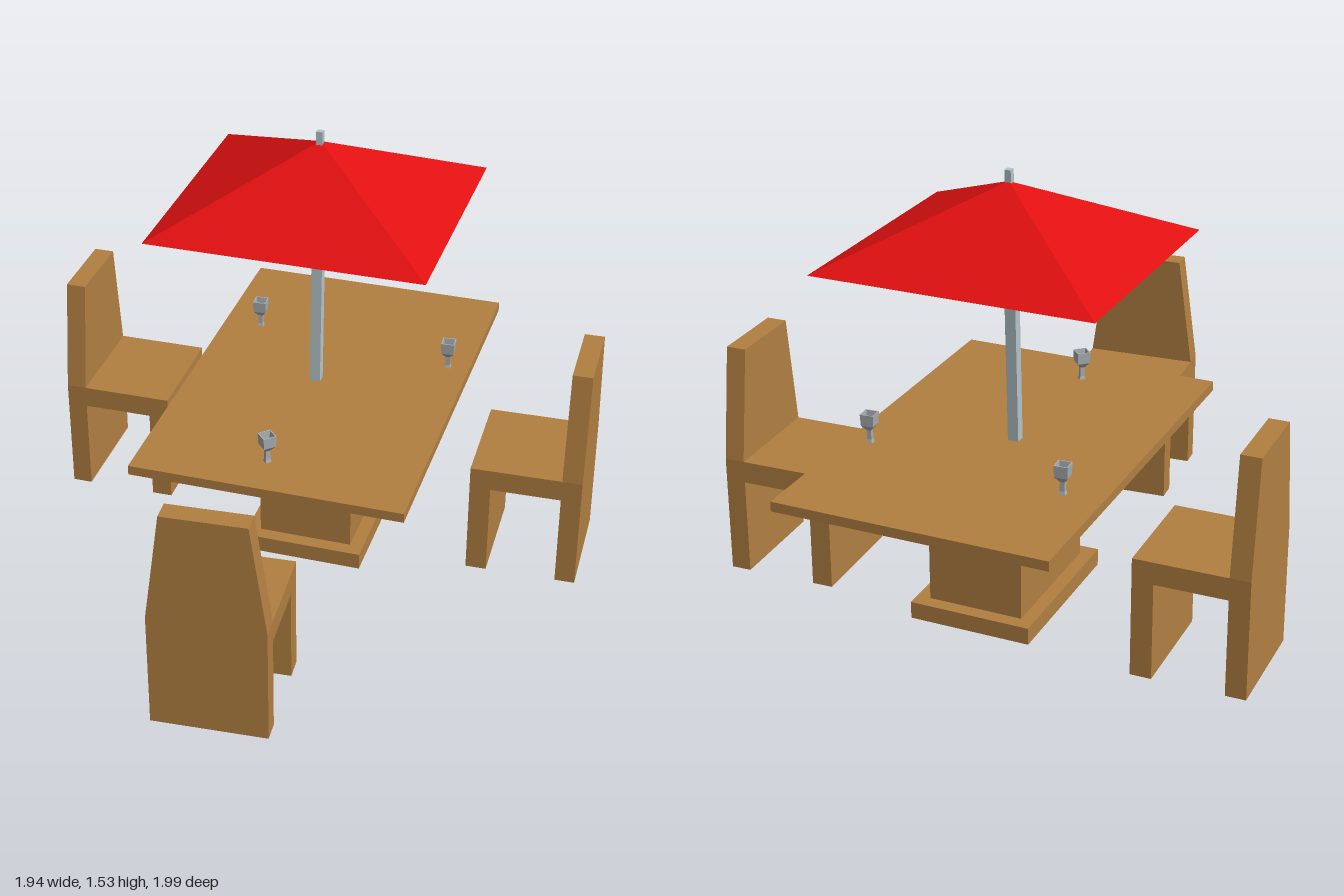
import * as THREE from 'three';

const wood = new THREE.MeshStandardMaterial({ color: 0xb17f41, side: THREE.DoubleSide });
wood.name = 'wood';
const red = new THREE.MeshStandardMaterial({ color: 0xe01010, side: THREE.DoubleSide });
red.name = 'red canvas';
const steel = new THREE.MeshStandardMaterial({ color: 0xb4c5c9 });
steel.name = 'pale steel';
const glass = new THREE.MeshStandardMaterial({ color: 0xa9aeb2, side: THREE.DoubleSide });
glass.name = 'grey glass';

function add(parent, name, geometry, material, x = 0, y = 0, z = 0) {
  const mesh = new THREE.Mesh(geometry, material);
  mesh.name = name;
  mesh.position.set(x, y, z);
  parent.add(mesh);
  return mesh;
}

// Removes the flat faces lying at height y, leaving a hollow shell
function openAt(geometry, y) {
  const geo = geometry.index ? geometry.toNonIndexed() : geometry;
  const p = geo.attributes.position;
  const kept = [];
  for (let i = 0; i < p.count; i += 3) {
    const flat = [0, 1, 2].every((k) => Math.abs(p.getY(i + k) - y) < 1e-4);
    if (!flat) for (let k = 0; k < 3; k++) kept.push(p.getX(i + k), p.getY(i + k), p.getZ(i + k));
  }
  const out = new THREE.BufferGeometry();
  out.setAttribute('position', new THREE.Float32BufferAttribute(kept, 3));
  out.computeVertexNormals();
  return out;
}

// Box resting on height y
function boxOn(w, h, d, y) {
  return new THREE.BoxGeometry(w, h, d).translate(0, y + h / 2, 0);
}

// Four-sided flat-faced lathe with sides facing the axes
function squareLathe(profile) {
  const points = profile.map(([half, y]) => new THREE.Vector2(half * Math.SQRT2, y));
  const geo = new THREE.LatheGeometry(points, 4, Math.PI / 4).toNonIndexed();
  geo.computeVertexNormals();
  return geo;
}

// Chair faces +z: board legs and seat in one profile, with a tapered back
function makeChair(name, x, z, degrees) {
  const chair = new THREE.Group();
  chair.name = name;
  const width = 0.394, seatTop = 0.42, top = 0.816;
  const side = new THREE.Shape([
    [-0.195, 0], [-0.125, 0], [-0.125, 0.342], [0.122, 0.342],
    [0.122, 0], [0.195, 0], [0.195, seatTop], [-0.195, seatTop],
  ].map(([a, b]) => new THREE.Vector2(a, b)));
  const frame = new THREE.ExtrudeGeometry(side, { depth: width, bevelEnabled: false });
  frame.translate(0, 0, -width / 2).rotateY(-Math.PI / 2);
  add(chair, 'seatAndLegs', openAt(frame, 0), wood);

  const back = boxOn(width, top - seatTop, 0.07, seatTop);
  const p = back.attributes.position;
  for (let i = 0; i < p.count; i++) if (p.getY(i) > 0.6) p.setX(i, p.getX(i) * 0.72);
  add(chair, 'backrest', openAt(back, seatTop), wood, 0, 0, -0.16);

  chair.position.set(x, 0, z);
  chair.rotation.y = THREE.MathUtils.degToRad(degrees);
  return chair;
}

function makeTable() {
  const table = new THREE.Group();
  table.name = 'table';
  add(table, 'tableTop', boxOn(0.95, 0.034, 1.44, 0.546), wood);
  add(table, 'pedestal', openAt(boxOn(0.335, 0.486, 0.495, 0.06), 0.06), wood);
  // Hollow plinth: four walls and a ring that meets the pedestal
  add(table, 'plinthWalls', openAt(openAt(boxOn(0.43, 0.06, 0.595, 0), 0), 0.06), wood);
  const rect = (w, d) => [[-w, -d], [w, -d], [w, d], [-w, d]].map(([a, b]) => new THREE.Vector2(a / 2, b / 2));
  const ring = new THREE.Shape(rect(0.43, 0.595));
  ring.holes.push(new THREE.Path(rect(0.335, 0.495).reverse()));
  add(table, 'plinthTop', new THREE.ShapeGeometry(ring).rotateX(-Math.PI / 2), wood, 0, 0.06, 0);
  table.position.set(0.003, 0, -0.28);
  return table;
}

function makeParasol() {
  const parasol = new THREE.Group();
  parasol.name = 'parasol';
  // Slightly leaning pole with a thinner tip
  const pole = new THREE.Group();
  pole.name = 'pole';
  add(pole, 'lowerPole', boxOn(0.038, 0.79, 0.035, 0), steel);
  add(pole, 'poleTip', boxOn(0.022, 0.17, 0.022, 0.78), steel);
  pole.position.set(-0.03, 0.58, -0.275);
  pole.rotation.x = -0.038;
  parasol.add(pole);
  // Four-panel canopy, open underneath
  const canopy = squareLathe([[0.5, 0], [0, 0.237]]);
  canopy.scale(0.962, 1, 0.89);
  add(parasol, 'canopy', canopy, red, -0.03, 1.254, -0.314);
  return parasol;
}

export function createModel() {
  const model = new THREE.Group();
  model.name = 'patioSet';
  model.add(makeTable(), makeParasol());
  model.add(
    makeChair('rightChair', -0.775, -0.41, 90.7),
    makeChair('leftChair', 0.766, -0.314, -88),
    makeChair('frontChair', -0.026, 0.786, 184),
  );

  // Square goblets: foot, stem, flared bowl and hollow inside
  const goblet = squareLathe([
    [0.011, 0], [0.008, 0.012], [0.008, 0.045], [0.022, 0.064], [0.024, 0.105], [0.02, 0.105], [0.016, 0.064], [0, 0.06],
  ]);
  [[-0.335, -0.58, 4], [0.4, -0.49, 4], [-0.036, 0.277, 43]].forEach(([x, z, turn]) => {
    add(model, 'goblet', goblet, glass, x, 0.58, z).rotation.y = THREE.MathUtils.degToRad(turn);
  });
  return model;
}
